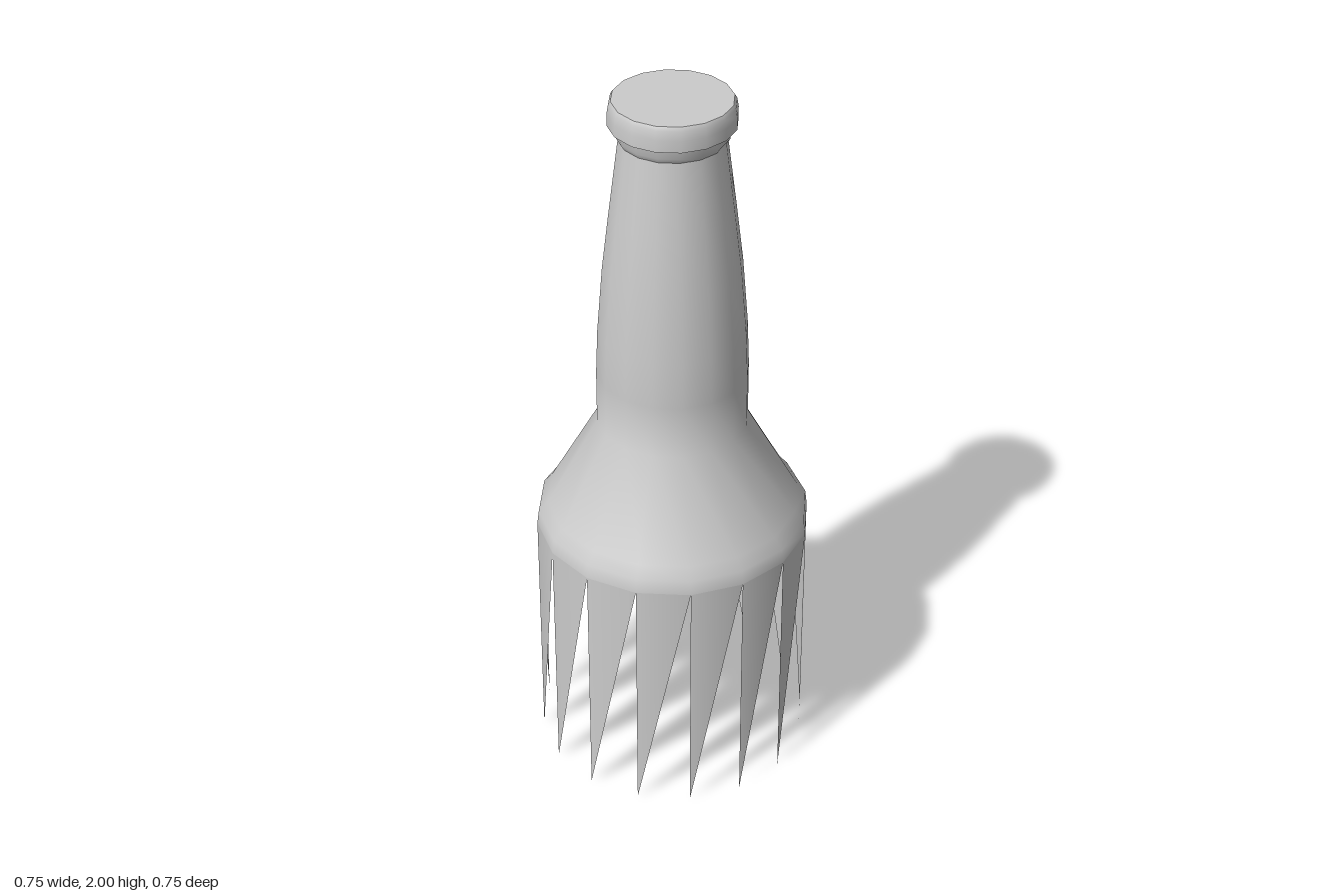
import * as THREE from 'three';

const SIDES = 16;
const RIM_R = 0.375, RIM_Y = 0.72;

const material = new THREE.MeshStandardMaterial({ color: 0xcccccc, side: THREE.DoubleSide });

// Revolve a bottom-to-top profile of [radius, height] pairs
function lathe(name, profile) {
  const points = profile.map(([r, y]) => new THREE.Vector2(r, y));
  const mesh = new THREE.Mesh(new THREE.LatheGeometry(points, SIDES), material);
  mesh.name = name;
  return mesh;
}

// Flat disc facing up (or down) at a given height
function disc(name, radius, y, up) {
  const geometry = new THREE.CircleGeometry(radius, SIDES);
  geometry.rotateX(up ? -Math.PI / 2 : Math.PI / 2);
  const mesh = new THREE.Mesh(geometry, material);
  mesh.name = name;
  mesh.position.y = y;
  return mesh;
}

// Saw-tooth ring: one jagged triangle hanging from each side of the rim
function shards() {
  const positions = [], normals = [];
  const corner = (i, y) => {
    const a = (i / SIDES) * Math.PI * 2;
    positions.push(Math.sin(a) * RIM_R, y, Math.cos(a) * RIM_R);
    normals.push(Math.sin(a), 0, Math.cos(a));
  };
  for (let i = 0; i < SIDES; i++) {
    corner(i, 0);
    corner(i + 1, RIM_Y);
    corner(i, RIM_Y);
  }
  const geometry = new THREE.BufferGeometry();
  geometry.setAttribute('position', new THREE.Float32BufferAttribute(positions, 3));
  geometry.setAttribute('normal', new THREE.Float32BufferAttribute(normals, 3));
  const mesh = new THREE.Mesh(geometry, material);
  mesh.name = 'brokenShards';
  return mesh;
}

export function createModel() {
  const group = new THREE.Group();
  group.name = 'brokenBottle';

  group.add(
    shards(),
    // Shoulder and neck in one smooth sweep
    lathe('shoulderAndNeck', [
      [RIM_R, RIM_Y], [0.37, 0.76], [0.345, 0.79], [0.205, 1.045],
      [0.205, 1.2], [0.2, 1.33], [0.185, 1.52], [0.165, 1.69], [0.14, 1.89],
    ]),
    // Floor closing the inside of the shoulder
    disc('innerFloor', 0.345, 0.79, false),
    // Collar and lip at the mouth
    lathe('collar', [[0.14, 1.89], [0.149, 1.905], [0.154, 1.935]]),
    lathe('lipUnderside', [[0.14, 1.933], [0.167, 1.933]]),
    lathe('lip', [[0.167, 1.933], [0.167, 1.965], [0.163, 1.99], [0.157, 2]]),
    disc('mouthCap', 0.157, 2, true),
  );
  return group;
}
